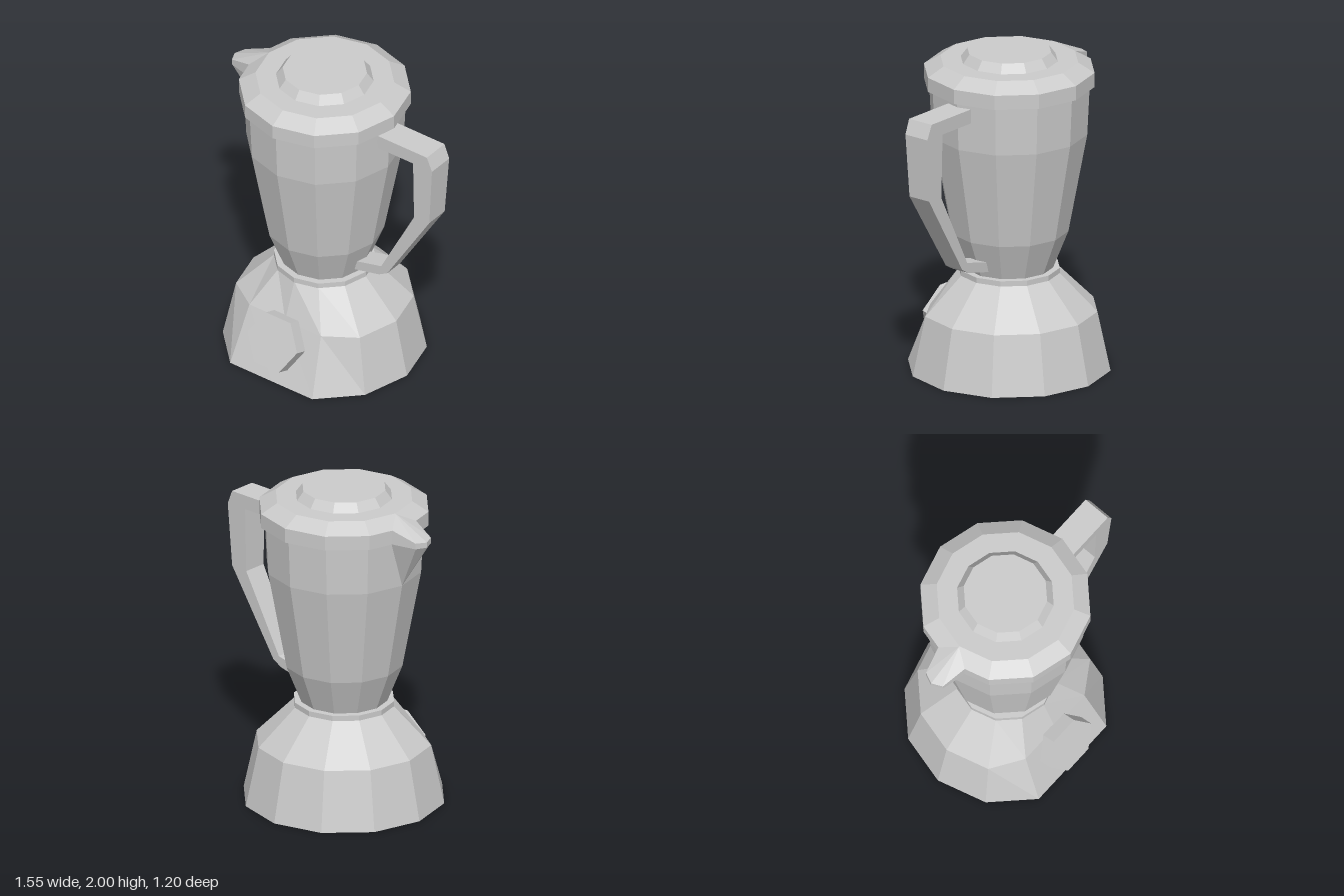
import * as THREE from 'three';
import { ConvexGeometry } from 'three/addons/geometries/ConvexGeometry.js';

const SIDES = 12;
const material = new THREE.MeshStandardMaterial({ color: 0xcccccc, flatShading: true });

function part(name, geometry) {
  const mesh = new THREE.Mesh(geometry, material);
  mesh.name = name;
  return mesh;
}

// Twelve-sided turned body from [radius, height] pairs, bottom to top
function turned(profile) {
  return new THREE.LatheGeometry(profile.map(([r, y]) => new THREE.Vector2(r, y)), SIDES);
}

// Convex solid from points, each mirrored across z = 0
function mirroredHull(points) {
  const all = [];
  for (const [x, y, z] of points) {
    all.push(new THREE.Vector3(x, y, z));
    if (z) all.push(new THREE.Vector3(x, y, -z));
  }
  return new ConvexGeometry(all);
}

export function createModel() {
  const model = new THREE.Group();
  model.name = 'blender';
  const body = new THREE.Group();
  body.name = 'body';
  body.position.set(-0.0975, 0, 0.02);
  model.add(body);

  // Motor base, its front corners pulled back into a sloping flat panel
  const base = turned([[0, 0], [0.617, 0], [0.537, 0.37], [0.305, 0.605], [0, 0.605]]);
  const p = base.attributes.position;
  for (let i = 0; i < p.count; i++) {
    const y = p.getY(i);
    if (y < 0.5) p.setZ(i, Math.min(p.getZ(i), 0.535 - 0.378 * y));
  }
  body.add(part('motorBase', base));

  // Collar between base and jar
  body.add(part('collar', turned([[0, 0.6], [0.308, 0.6], [0.308, 0.635], [0, 0.635]])));

  // Jar
  body.add(part('jar', turned([[0, 0.63], [0.265, 0.63], [0.36, 0.87], [0.475, 1.49], [0.49, 1.8], [0, 1.8]])));

  // Lid with its raised cap
  body.add(part('lid', turned([[0, 1.795], [0.52, 1.795], [0.52, 1.885], [0.42, 1.945], [0, 1.945]])));
  body.add(part('lidCap', turned([[0, 1.94], [0.297, 1.943], [0.255, 2], [0, 2]])));

  // Pouring spout of the jar and the lid's lip covering it
  body.add(part('jarSpout', mirroredHull([
    [-0.475, 1.49, 0], [-0.678, 1.797, 0], [-0.648, 1.797, 0.065],
    [-0.48, 1.797, 0.1], [-0.4, 1.797, 0],
  ])));
  body.add(part('lidSpout', mirroredHull([
    [-0.42, 1.944, 0], [-0.678, 1.795, 0], [-0.678, 1.828, 0],
    [-0.648, 1.795, 0.067], [-0.648, 1.832, 0.067],
    [-0.493, 1.795, 0.105], [-0.493, 1.885, 0.105],
  ])));

  // Handle: side outline extruded, narrowing towards the bottom
  const outline = [
    [0.463, 1.675], [0.728, 1.675], [0.728, 1.27], [0.472, 0.787], [0.29, 0.743],
    [0.27, 0.675], [0.455, 0.718], [0.518, 0.755], [0.843, 1.277], [0.87, 1.675],
    [0.833, 1.765], [0.463, 1.765],
  ];
  const shape = new THREE.Shape(outline.map(([x, y]) => new THREE.Vector2(x, y)));
  const handle = new THREE.ExtrudeGeometry(shape, { depth: 2, bevelEnabled: false });
  handle.translate(0, 0, -1);
  const h = handle.attributes.position;
  for (let i = 0; i < h.count; i++) {
    h.setZ(i, h.getZ(i) * (0.0625 + 0.0234 * (h.getY(i) - 0.675)));
  }
  body.add(part('handle', handle));

  // Six-sided control dial lying on the sloping panel
  const dial = part('controlDial', new THREE.CylinderGeometry(0.185, 0.185, 0.1, 6, 1, false, Math.PI / 6));
  const tilt = THREE.MathUtils.degToRad(21);
  dial.rotation.x = Math.PI / 2 - tilt;
  dial.position.set(0, 0.28 - 0.05 * Math.sin(tilt), 0.5225 - 0.05 * Math.cos(tilt));
  body.add(dial);

  return model;
}
